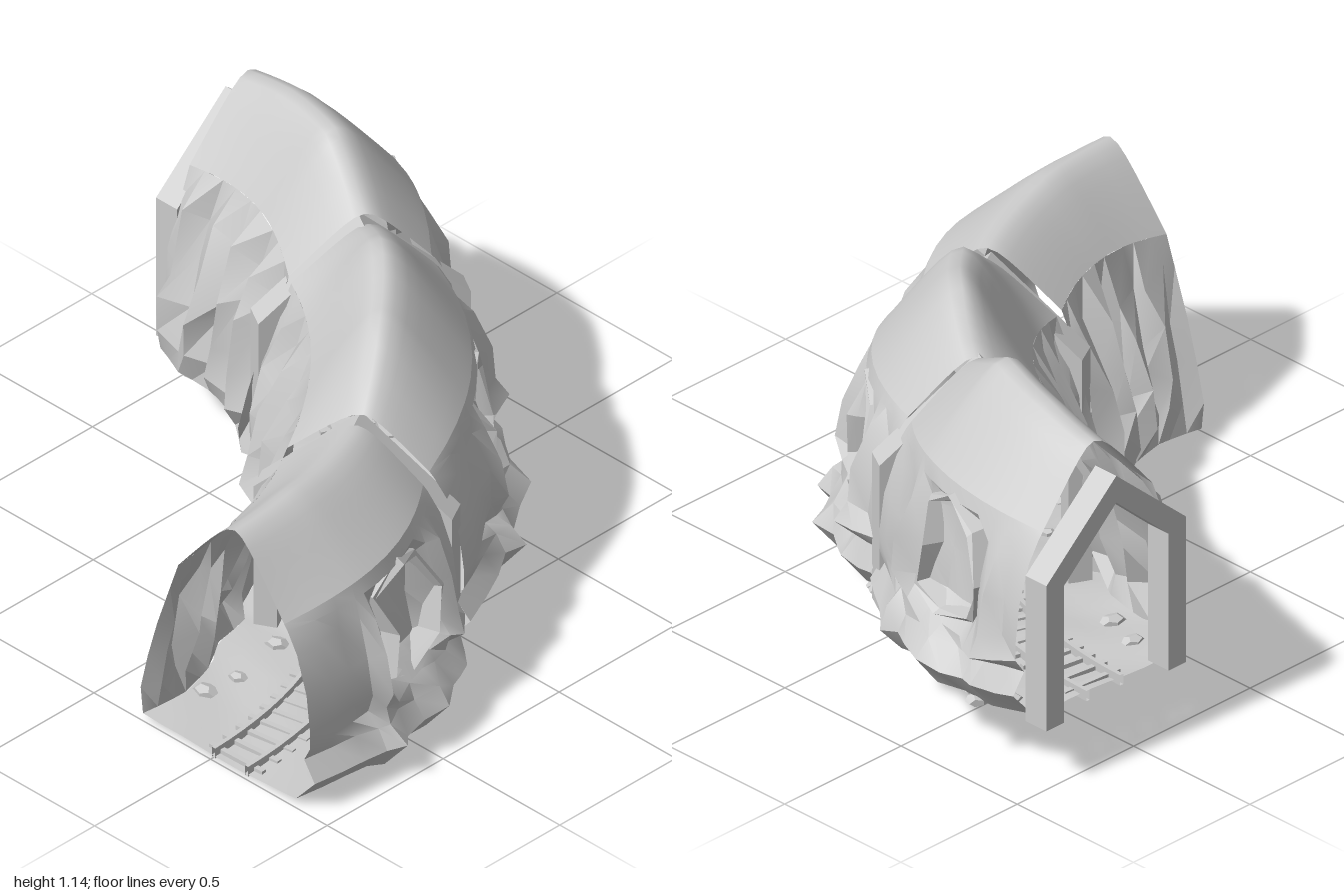
import * as THREE from 'three';
import { toCreasedNormals } from 'three/addons/utils/BufferGeometryUtils.js';

const R = 1.57; // bend radius, centred on (-1, -1)
const rad = THREE.MathUtils.degToRad;
const mat = new THREE.MeshStandardMaterial({ color: 0xcccccc, side: THREE.DoubleSide });

let seed = 7;
const rnd = () => (seed = (seed * 16807) % 2147483647) / 2147483647;
const jit = (a) => (rnd() * 2 - 1) * a;

// piecewise linear lookup in [x, y] pairs
function lookup(pts, x) {
  for (let i = 1; i < pts.length; i++) {
    const [x0, y0] = pts[i - 1], [x1, y1] = pts[i];
    if (x <= x1) return y0 + (y1 - y0) * Math.max(0, (x - x0) / (x1 - x0));
  }
  return pts[pts.length - 1][1];
}
const floorY = (t) => lookup([[0, 0.015], [15, 0.025], [28, 0.05], [45, 0.11], [60, 0.175], [70, 0.2], [90, 0.21]], t);

// t = degrees along the bend, w = outward offset, h = height above the floor
function place(t, w, h) {
  const a = rad(t);
  return new THREE.Vector3(-1 + (R + w) * Math.sin(a), floorY(t) + h, -1 + (R + w) * Math.cos(a));
}

// surface through rows of points
function grid(name, rows, crease) {
  const n = rows[0].length, idx = [];
  for (let i = 0; i < rows.length - 1; i++)
    for (let j = 0; j < n - 1; j++) {
      const a = i * n + j, b = a + n;
      idx.push(a, b, a + 1, b, b + 1, a + 1);
    }
  const g = new THREE.BufferGeometry().setFromPoints(rows.flat());
  g.setIndex(idx);
  const mesh = new THREE.Mesh(toCreasedNormals(g, crease), mat);
  mesh.name = name;
  return mesh;
}

function orient(obj, t, w, h, turn = t - 90) {
  obj.position.copy(place(t, w, h));
  obj.rotation.y = rad(turn);
  return obj;
}

// section extents and roof peak heights
const sections = [
  { t0: 0.5, t1: 26.6, peak: [[0, 0.875], [0.4, 0.87], [1, 0.805]] },
  { t0: 28.7, t1: 59, peak: [[0, 0.8], [0.3, 0.95], [0.68, 0.975], [1, 0.81]] },
  { t0: 60.2, t1: 87, peak: [[0, 0.82], [0.36, 0.945], [0.7, 0.92], [1, 0.87]] },
];
const US = [0, 0.12, 0.22, 0.31, 0.355, 0.42, 0.52, 0.62, 0.72, 0.8, 0.86, 0.93, 1];
const FOOT = [[0, 0.36], [0.12, 0.38], [0.3, 0.41], [0.36, 0.46], [0.45, 0.41], [0.62, 0.46], [0.72, 0.42], [0.86, 0.41], [1, 0.35]];
const BULGE = [[0, 0], [0.3, 0.01], [0.355, 0.07], [0.42, 0], [0.52, -0.05], [0.72, -0.05], [0.86, 0.05], [0.93, 0], [1, 0]];
const INNER = [[0, -0.37], [0.3, -0.34], [0.6, -0.35], [0.75, -0.38], [1, -0.34]];
const outerEave = (u) => 0.23 + 0.06 * Math.sin(Math.PI * u);
const innerEave = (u) => -0.22 + 0.02 * Math.sin(Math.PI * u);
const eaveH = (u) => 0.63 + 0.03 * Math.sin(Math.PI * u);
const tAt = (s, u) => s.t0 + (s.t1 - s.t0) * u;

// one continuous floor under all sections
function floorSlab() {
  return grid('floor', sections.flatMap((s) => US.map((u) => {
    const row = [], a = lookup(INNER, u), b = lookup(FOOT, u) - 0.08;
    for (let k = 0; k <= 8; k++)
      row.push(place(tAt(s, u), a + (b - a) * k / 8, k % 8 ? 0.005 * Math.sin(u * 9 + k) : 0.008));
    return row;
  })), 1.4);
}

// straight-sided pointed roof with a softened crown
function roof(s) {
  const c = 0.22, soft = (f) => Math.hypot(f, c) - c;
  return grid('roof', US.map((u) => {
    const row = [], e = eaveH(u), H = lookup(s.peak, u);
    for (let k = -7; k <= 7; k++) {
      const f = k / 7, w = f > 0 ? f * outerEave(u) : -f * innerEave(u);
      row.push(place(tAt(s, u), w + 0.02 * (1 - Math.abs(f)), e + (H - e) * (1 - soft(f) / soft(1))));
    }
    return row;
  }), 1.4);
}

// outer rock wall: bulging foot, ledge, smooth panel and upright ridges
function outerWall(s) {
  return grid('outerWall', US.map((u) => {
    const f = lookup(FOOT, u), b = lookup(BULGE, u), end = u === 0 || u === 1;
    const ledge = u > 0.4 && !end ? 0.05 : 0, j = u > 0.3 && !end ? 0.014 : 0;
    const t = tAt(s, u);
    return [
      place(t, f - 0.08, 0.008),
      place(t, f + jit(j), 0.1 + jit(j)),
      place(t, f - 0.045 + jit(j), 0.17 + jit(j)),
      place(t, 0.34 + b * 0.6 + ledge + jit(j), 0.22 + jit(j)),
      place(t, 0.34 + b, 0.28 + jit(j)),
      place(t, 0.325 + b + jit(j), 0.41),
      place(t, 0.285 + b * 0.7 + jit(j), 0.54 + jit(j)),
      place(t, outerEave(u) + 0.015, 0.61),
      place(t, outerEave(u), eaveH(u)),
    ];
  }), 0.5);
}

// thin rugged rim around the alcove in the outer wall
function alcoveRim(s) {
  const shape = [[-0.17, 0.17], [-0.02, 0.24], [0.13, 0.17], [0.2, 0.01], [0.15, -0.15], [-0.03, -0.19], [-0.16, -0.14], [-0.13, 0.02]];
  const rings = [[1.02, 0.27], [0.94, 0.345], [0.86, 0.35], [0.76, 0.26]].map(([k, w], r) => {
    const ring = shape.map(([x, y]) => place(tAt(s, 0.6) + THREE.MathUtils.radToDeg(x * k / 1.92),
      w - Math.max(0, y) * 0.2 + (r % 3 ? jit(0.025) : 0), 0.4 + y * k));
    return [...ring, ring[0]];
  });
  return grid('alcoveRim', rings, 0.3);
}

// inner rock wall: a few irregular leaning crags
function innerWall(s) {
  const cols = [0, 0.1, 0.22, 0.3, 0.45, 0.54, 0.67, 0.77, 0.9, 1];
  return grid('innerWall', cols.map((u, i) => {
    const t = tAt(s, u), base = lookup(INNER, u), end = u === 0 || u === 1;
    const out = end ? 0 : i % 2 ? 0.03 + jit(0.015) : -0.045 + jit(0.02);
    const j = end ? 0 : 0.025, lean = () => (end ? 0 : jit(1.2));
    return [
      place(t, base, 0.008),
      place(t + lean(), base - 0.01 + out * 0.5 + jit(j), 0.1 + jit(j)),
      place(t + lean(), base + 0.02 + out + jit(j * 0.7), 0.23 + jit(j)),
      place(t + lean(), -0.31 + out * 0.9 + jit(j * 0.7), 0.37 + jit(j * 2)),
      place(t + lean(), -0.255 + out * 0.6 + jit(j * 0.6), 0.53 + jit(j)),
      place(t, innerEave(u), eaveH(u)),
    ];
  }), 0.4);
}

// loose stones along both edges of the floor
function stones(s) {
  const g = new THREE.Group();
  g.name = 'stones';
  for (let i = 0; i < 11; i++) {
    const stone = new THREE.Mesh(new THREE.DodecahedronGeometry(0.016 + rnd() * 0.018), mat);
    stone.name = 'stone';
    stone.scale.set(1.3, 0.65, 1);
    const w = i % 4 ? 0.2 + rnd() * 0.15 : -0.2 - rnd() * 0.1;
    g.add(orient(stone, tAt(s, 0.05 + 0.9 * rnd()), w, 0.004));
  }
  return g;
}

// house-shaped timber frame
function timberFrame(t, half, top, turn) {
  const outline = (o) => [[-half + o, 0], [half - o, 0], [half - o, 0.51 - o * 0.4], [0, top - o * 1.25], [-half + o, 0.51 - o * 0.4]]
    .map(([x, y]) => new THREE.Vector2(x, y));
  const o = outline(0), i = outline(0.075);
  const shape = new THREE.Shape([o[0], i[0], i[4], i[3], i[2], i[1], o[1], o[2], o[3], o[4]]);
  const geo = new THREE.ExtrudeGeometry(shape, { depth: 0.09, bevelEnabled: false });
  geo.translate(0, 0, -0.045);
  const m = new THREE.Mesh(geo, mat);
  m.name = 'timberFrame';
  return orient(m, t, 0.005, 0, turn);
}

// rail swept along the bend with a square section
function rail(w) {
  const rows = [];
  for (let t = 0.5; t <= 88; t += 2.5)
    rows.push([[-1, -0.01], [1, -0.01], [1, 0.026], [-1, 0.026], [-1, -0.01]].map(([s, h]) => place(t, w + s * 0.007, h)));
  return grid('rail', rows, 0.5);
}

export function createModel() {
  const model = new THREE.Group();
  model.name = 'curvedMineTunnel';
  model.add(floorSlab());
  for (const s of sections) {
    const g = new THREE.Group();
    g.name = 'tunnelSection';
    g.add(roof(s), outerWall(s), alcoveRim(s), innerWall(s), stones(s));
    model.add(g);
  }
  model.add(timberFrame(28.2, 0.315, 0.79), timberFrame(59.9, 0.335, 0.81), timberFrame(88.36, 0.3, 0.775, 0));

  const track = new THREE.Group();
  track.name = 'track';
  track.add(rail(-0.07), rail(0.07));
  for (let t = 1.7; t < 88; t += 2.4) {
    const tie = new THREE.Mesh(new THREE.BoxGeometry(0.22, 0.016, 0.018), mat);
    tie.name = 'railTie';
    track.add(orient(tie, t, 0, 0.002));
  }
  model.add(track);
  return model;
}
